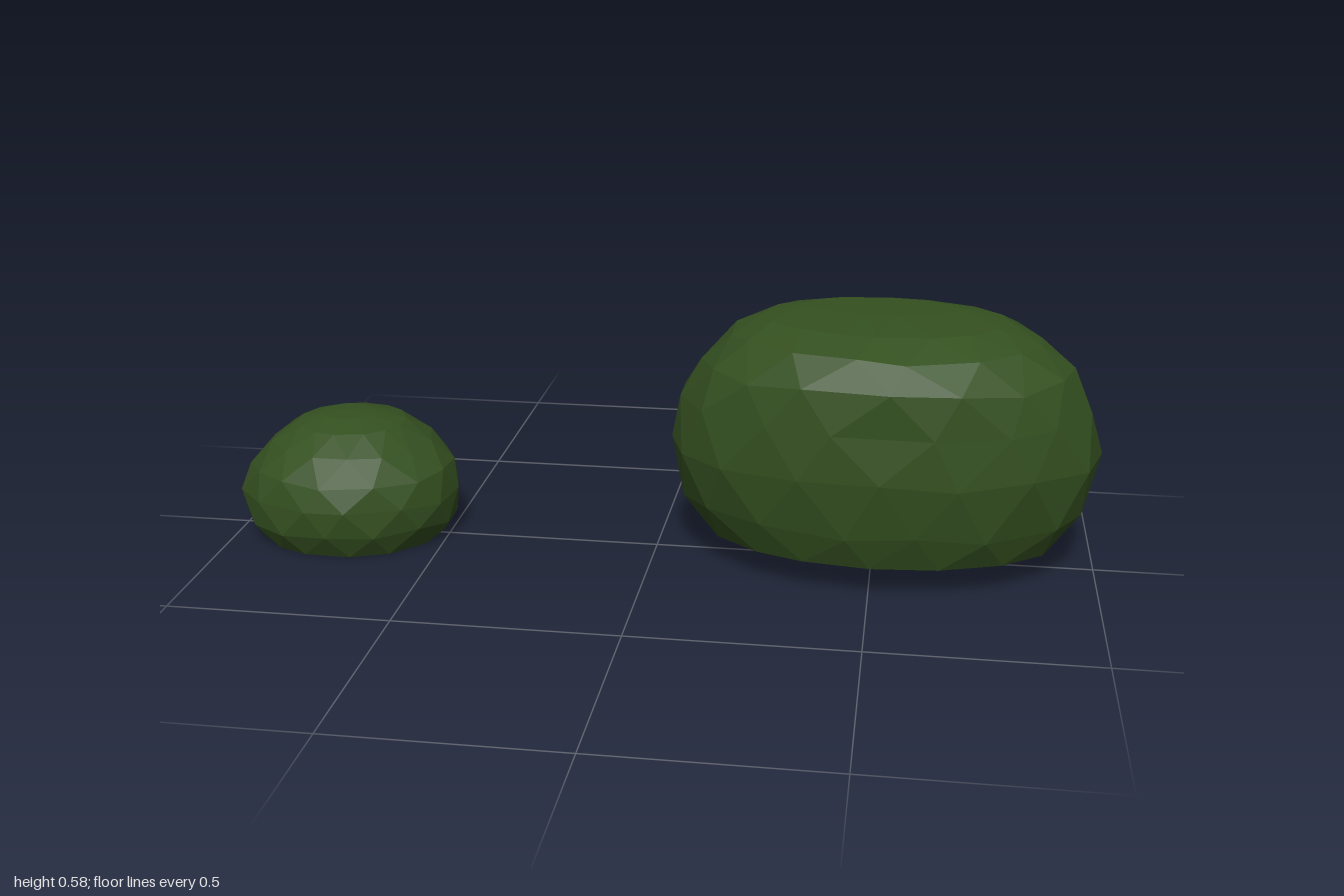
import * as THREE from 'three';

// Small seeded generator, returns values in -0.5..0.5
function seeded(seed) {
  let s = seed;
  return () => {
    s = (s * 16807) % 2147483647;
    return s / 2147483647 - 0.5;
  };
}

// Faceted hollow bush lofted through oval rings [y, xMin, xMax, zMin, zMax], open underneath
function bush(name, rings, peak, sides, seed, material) {
  const random = seeded(seed);
  const loops = rings.map(([y, x0, x1, z0, z1], j) => {
    // The rim and the crown stay level, the sides are uneven
    const uneven = j > 0 && j < rings.length - 2 ? 0.016 : 0;
    const loop = [];
    for (let i = 0; i < sides; i++) {
      const angle = ((i + j * 0.5 + random() * 0.3) / sides) * Math.PI * 2;
      loop.push(new THREE.Vector3(
        (x0 + x1) / 2 + Math.cos(angle) * ((x1 - x0) / 2) * 1.008,
        y + random() * uneven,
        (z0 + z1) / 2 + Math.sin(angle) * ((z1 - z0) / 2) * 1.008
      ));
    }
    return loop;
  });

  const points = [];
  const top = new THREE.Vector3(...peak);
  const last = loops[loops.length - 1];
  for (let i = 0; i < sides; i++) {
    const n = (i + 1) % sides;
    // Crown
    points.push(top, last[n], last[i]);
    // Staggered triangles between neighbouring rings
    for (let j = 0; j < loops.length - 1; j++) {
      const a = loops[j], b = loops[j + 1];
      points.push(a[i], b[i], a[n], a[n], b[i], b[n]);
    }
  }
  const geometry = new THREE.BufferGeometry().setFromPoints(points);
  geometry.computeVertexNormals();
  const mesh = new THREE.Mesh(geometry, material);
  mesh.name = name;
  return mesh;
}

export function createModel() {
  const group = new THREE.Group();
  group.name = 'bushes';
  const leafGreen = new THREE.MeshStandardMaterial({
    color: 0x345020, flatShading: true, side: THREE.DoubleSide,
  });
  leafGreen.name = 'leafGreen';

  group.add(bush('largeBush', [
    [0.073, 0.12, 0.915, -0.24, 0.23],
    [0.15, 0.066, 0.966, -0.27, 0.26],
    [0.28, 0.04, 0.996, -0.281, 0.282],
    [0.39, 0.058, 0.97, -0.278, 0.278],
    [0.475, 0.106, 0.925, -0.266, 0.271],
    [0.537, 0.168, 0.855, -0.241, 0.224],
    [0.57, 0.24, 0.78, -0.2, 0.137],
    [0.583, 0.33, 0.67, -0.147, 0.0],
  ], [0.5, 0.585, -0.075], 16, 41, leafGreen));

  group.add(bush('smallBush', [
    [0.004, -0.955, -0.52, -0.195, 0.185],
    [0.055, -0.99, -0.488, -0.22, 0.213],
    [0.115, -0.998, -0.478, -0.232, 0.219],
    [0.18, -0.972, -0.492, -0.219, 0.205],
    [0.235, -0.918, -0.54, -0.18, 0.167],
    [0.277, -0.855, -0.6, -0.127, 0.112],
    [0.295, -0.8, -0.67, -0.067, 0.052],
  ], [-0.735, 0.3, -0.008], 14, 97, leafGreen));

  return group;
}
